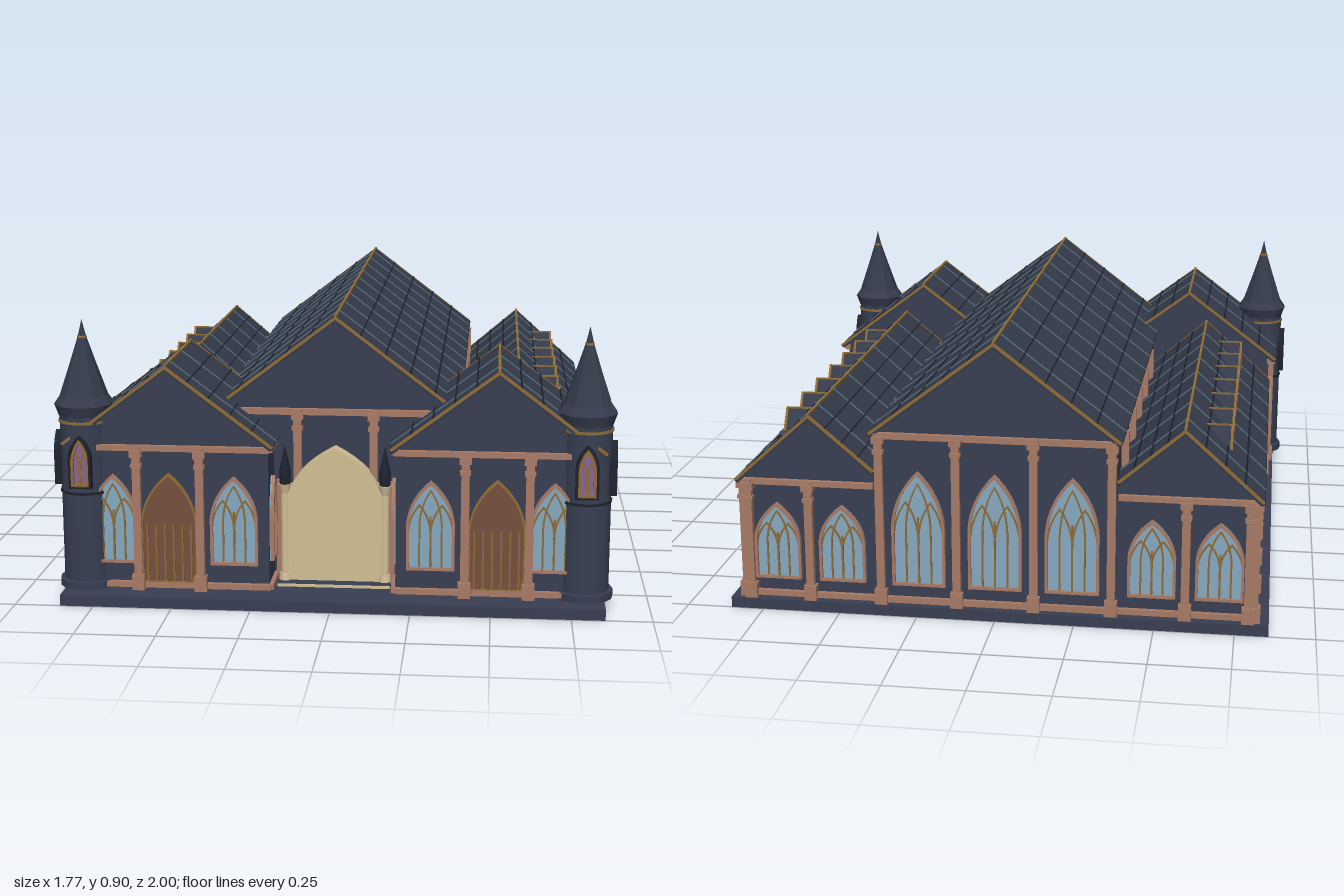
import * as THREE from 'three';

const mat = (name, color) => Object.assign(new THREE.MeshStandardMaterial({ color }), { name });
const M = {
  wall: mat('slate wall', 0x383f52), roof: mat('slate roof', 0x353b4b), dark: mat('dark slate', 0x1f232e),
  copper: mat('copper trim', 0xa87a66), gold: mat('old gold', 0x8f6c35), door: mat('brown wood', 0x74503e),
  glass: mat('blue glass', 0x86a9c0), cream: mat('cream stone', 0xd2c096), violet: mat('violet glass', 0x86649c),
  seam: mat('blue grey seam', 0x566f7c),
};

function add(parent, name, geo, material, x = 0, y = 0, z = 0) {
  const m = new THREE.Mesh(geo, material);
  m.name = name;
  m.position.set(x, y, z);
  parent.add(m);
  return m;
}
const box = (p, name, material, w, h, d, x, y, z) => add(p, name, new THREE.BoxGeometry(w, h, d), material, x, y, z);
function group(parent, name, x = 0, y = 0, z = 0, ry = 0) {
  const g = new THREE.Group();
  g.name = name;
  g.position.set(x, y, z);
  g.rotation.y = ry;
  parent.add(g);
  return g;
}
function faceted(geo) {
  const g = geo.toNonIndexed();
  g.computeVertexNormals();
  return g;
}
const extrude = (shape, depth) => new THREE.ExtrudeGeometry(shape, { depth, bevelEnabled: false, curveSegments: 8 });

// Pointed arch outline, standing on y = base
function arch(w, h, spring, base = 0, P = THREE.Shape) {
  const s = new P();
  s.moveTo(-w, base);
  s.lineTo(w, base);
  s.lineTo(w, spring);
  s.quadraticCurveTo(w * 0.92, spring + (h - spring) * 0.58, 0, h);
  s.quadraticCurveTo(-w * 0.92, spring + (h - spring) * 0.58, -w, spring);
  s.closePath();
  return s;
}
function archRing(w, h, spring, t, depth, sill = t) {
  const s = arch(w, h, spring);
  s.holes.push(arch(w - t, h - t * 1.4, spring, sill, THREE.Path));
  return extrude(s, depth);
}

// Traceried window; local +z points out of the wall
function windowAt(parent, x, y, z, ry, w, h, glass = M.glass, frame = M.copper) {
  const g = group(parent, 'window', x, y, z, ry), sp = h * 0.52;
  add(g, 'windowGlass', extrude(arch(w, h, sp), 0.004), glass);
  add(g, 'windowFrame', archRing(w, h, sp, 0.009, 0.014), frame);
  const t = 0.006;
  for (const s of [-1, 1])
    add(g, 'lancetTracery', archRing(w / 2, h * 0.74, h * 0.42, t, 0.008), M.gold, s * w / 2 * 0.93);
  if (w > 0.06) {
    add(g, 'middleTracery', archRing(w * 0.5, h * 0.9, h * 0.5, t, 0.007), M.gold);
    box(g, 'mullion', M.gold, t, h * 0.6, 0.008, 0, h * 0.3, 0.005);
  }
  return g;
}

// Pilaster with foot and capital
function pilaster(parent, x, z, ry, y0, y1) {
  const g = group(parent, 'pilaster', x, y0, z, ry), h = y1 - y0;
  box(g, 'pilasterShaft', M.copper, 0.026, h, 0.026, 0, h / 2, 0.008);
  box(g, 'pilasterFoot', M.copper, 0.04, 0.05, 0.036, 0, 0.025, 0.01);
  box(g, 'pilasterCapital', M.copper, 0.038, 0.022, 0.036, 0, h - 0.02, 0.01);
  box(g, 'pilasterBand', M.copper, 0.034, 0.012, 0.032, 0, h - 0.06, 0.01);
}

// Roof plane from ridge (x0,y0) to eave (x1,y1), with courses, seams and gilt edges
function roofPlane(parent, x0, y0, x1, y1, z0, z1, step) {
  const dir = Math.sign(x1 - x0), L = Math.hypot(x1 - x0, y1 - y0), D = z1 - z0, t = 0.016;
  const g = group(parent, 'roofPlane', (x0 + x1) / 2, (y0 + y1) / 2, (z0 + z1) / 2);
  g.rotation.z = Math.atan2(y1 - y0, Math.abs(x1 - x0)) * dir;
  box(g, 'roofSlab', M.roof, L, t, D, 0, -t / 2, 0);
  const n = Math.round(L / step);
  for (let i = 1; i < n; i++) box(g, 'roofCourse', M.dark, 0.005, 0.005, D, -L / 2 + i * L / n, 0.001, 0);
  for (let z = -0.865; z < z1 - 0.02; z += 0.19)
    if (z > z0 + 0.02) box(g, 'roofSeam', M.seam, L, 0.005, 0.004, 0, 0.001, z - (z0 + z1) / 2);
  for (const s of [-1, 1]) box(g, 'vergeTrim', M.gold, L, 0.009, 0.006, 0, -0.003, s * D / 2);
  box(g, 'eaveTrim', M.dark, 0.006, 0.012, D, dir * L / 2, -0.007, 0);
}
function gableBlock(parent, name, pts, z0, z1) {
  add(parent, name, extrude(new THREE.Shape(pts.map(p => new THREE.Vector2(...p))), z1 - z0), M.wall, 0, 0, z0);
}

function tower(parent, side) {
  const g = group(parent, 'cornerTower', side * 0.79, 0, 0.86);
  const cyl = (name, m, r1, r0, y0, y1, n = 16) =>
    add(g, name, new THREE.CylinderGeometry(r1, r0, y1 - y0, n), m, 0, (y0 + y1) / 2, 0);
  cyl('towerFoot', M.wall, 0.093, 0.093, 0.035, 0.06);
  cyl('towerShaft', M.wall, 0.079, 0.08, 0.05, 0.6);
  cyl('towerLowerRing', M.dark, 0.083, 0.083, 0.345, 0.353);
  cyl('towerGoldRing', M.gold, 0.083, 0.083, 0.572, 0.58);
  cyl('towerCornice', M.wall, 0.094, 0.08, 0.59, 0.63, 10);
  const spire = [[0.095, 0.628], [0.076, 0.655], [0.04, 0.76], [0.012, 0.845], [0, 0.895]].map(p => new THREE.Vector2(...p));
  add(g, 'towerSpire', faceted(new THREE.LatheGeometry(spire, 10)), M.roof);
  cyl('spireCollar', M.gold, 0.014, 0.016, 0.838, 0.844, 10);
  for (const ry of [0, side * Math.PI / 2]) {
    const f = group(g, 'towerWindow', 0, 0.37, 0, ry);
    add(f, 'towerWindowFrame', archRing(0.036, 0.17, 0.1, 0.008, 0.026), M.dark, 0, 0, 0.068);
    windowAt(f, 0, 0.006, 0.08, 0, 0.028, 0.152, M.violet, M.gold);
    const rib = box(f, 'spireSeam', M.seam, 0.004, 0.18, 0.005, 0, 0.38, 0.038);
    rib.rotation.x = -0.34;
  }
}

// One side of the church; s = 1 is its left
function sideWing(root, s) {
  const g = group(root, s > 0 ? 'leftWing' : 'rightWing');
  const out = s * Math.PI / 2;
  const ordered = pts => (s > 0 ? pts : pts.map(([x, y]) => [-x, y]).reverse());

  // Long aisle
  gableBlock(g, 'aisleWalls', ordered([[0.36, 0.03], [0.8, 0.03], [0.8, 0.445], [0.585, 0.635], [0.36, 0.45]]), -0.97, 0.5);
  roofPlane(g, s * 0.585, 0.65, s * 0.83, 0.43, -0.985, 0.465, 0.075);
  roofPlane(g, s * 0.585, 0.65, s * 0.38, 0.475, -0.985, 0.465, 0.075);
  box(g, 'aisleRidge', M.gold, 0.008, 0.008, 1.45, s * 0.585, 0.65, -0.26);
  for (const y of [0.05, 0.424]) {
    box(g, 'aisleSideBeam', M.copper, 0.02, 0.018, 1.47, s * 0.805, y, -0.245);
    box(g, 'aisleBackBeam', M.copper, 0.43, 0.018, 0.02, s * 0.6, y, -0.975);
  }
  for (let i = 0; i < 6; i++) {
    windowAt(g, s * 0.8, 0.1, 0.39 - i * 0.245, out, 0.085, 0.255);
    pilaster(g, s * 0.8, 0.27 - i * 0.247, out, 0.035, 0.43);
  }
  for (const x of [0.49, 0.7]) windowAt(g, s * x, 0.1, -0.97, Math.PI, 0.075, 0.255);
  for (const x of [0.595, 0.79]) pilaster(g, s * x, -0.97, Math.PI, 0.035, 0.43);

  // Small triangular dormers
  for (let i = 0; i < 7; i++) {
    const d = group(g, 'dormer', s * 0.64, 0.53, 0.35 - i * 0.182, out);
    const tri = new THREE.Shape([[-0.045, 0], [0.045, 0], [0, 0.07]].map(p => new THREE.Vector2(...p)));
    add(d, 'dormerBody', extrude(tri, 0.08), M.roof);
    for (const k of [-1, 1]) {
      const e = box(d, 'dormerTrim', M.gold, 0.083, 0.006, 0.008, k * 0.0225, 0.036, 0.08);
      e.rotation.z = -k * Math.atan2(0.07, 0.045);
    }
    box(d, 'dormerRidge', M.gold, 0.005, 0.005, 0.085, 0, 0.07, 0.04);
  }

  // Clerestory posts above the aisle
  for (let i = 0; i < 5; i++) box(g, 'clerestoryPost', M.copper, 0.03, 0.13, 0.024, s * 0.388, 0.53, -0.83 + i * 0.258);

  // Front block with its own gable
  gableBlock(g, 'frontBlockWalls', ordered([[0.2, 0.03], [0.825, 0.03], [0.825, 0.515], [0.517, 0.745], [0.2, 0.51]]), 0.475, 0.905);
  roofPlane(g, s * 0.517, 0.762, s * 0.852, 0.51, 0.46, 0.93, 0.085);
  roofPlane(g, s * 0.517, 0.762, s * 0.182, 0.51, 0.46, 0.93, 0.085);
  box(g, 'frontBlockRidge', M.gold, 0.008, 0.008, 0.47, s * 0.517, 0.762, 0.695);
  for (const y of [0.05, 0.497]) {
    box(g, 'frontBeam', M.copper, 0.63, 0.018, 0.022, s * 0.51, y, 0.91);
    box(g, 'outerBeam', M.copper, 0.022, 0.018, 0.44, s * 0.83, y, 0.69);
    box(g, 'innerBeam', M.copper, 0.018, 0.018, 0.14, s * 0.195, y, 0.84);
  }
  for (const x of [0.417, 0.617]) pilaster(g, s * x, 0.905, 0, 0.035, 0.5);
  pilaster(g, s * 0.825, 0.695, out, 0.035, 0.5);
  for (const x of [0.31, 0.695]) windowAt(g, s * x, 0.12, 0.905, 0, 0.076, 0.29);
  for (const z of [0.595, 0.785]) windowAt(g, s * 0.825, 0.11, z, out, 0.078, 0.295);
  windowAt(g, s * 0.2, 0.13, 0.845, -out, 0.045, 0.27);

  // Side door
  const d = group(g, 'sideDoor', s * 0.517, 0.055, 0.905);
  add(d, 'sideDoorLeaf', extrude(arch(0.085, 0.355, 0.2), 0.006), M.door);
  add(d, 'sideDoorFrame', archRing(0.09, 0.362, 0.2, 0.007, 0.012), M.gold);
  for (let i = 0; i < 6; i++) box(d, 'sideDoorBar', M.gold, 0.005, 0.19, 0.006, -0.07 + i * 0.028, 0.1, 0.008);

  tower(g, s);
}

function portal(root) {
  const g = group(root, 'mainPortal', 0, 0.038, 0.765);
  add(g, 'mainDoor', extrude(arch(0.135, 0.415, 0.26), 0.01), M.door);
  box(g, 'doorJoint', M.dark, 0.004, 0.38, 0.004, 0, 0.19, 0.01);
  add(g, 'outerArch', archRing(0.155, 0.445, 0.27, 0.014, 0.05, -0.001), M.cream);
  add(g, 'goldArch', archRing(0.143, 0.426, 0.265, 0.009, 0.035, -0.001), M.gold);
  add(g, 'innerArch', archRing(0.136, 0.415, 0.26, 0.011, 0.025, -0.001), M.cream);
  for (const s of [-1, 1]) {
    const col = (name, m, r1, r0, h, y, n) => add(g, name, new THREE.CylinderGeometry(r1, r0, h, n), m, s * 0.16, y, 0.04);
    col('portalColumn', M.cream, 0.014, 0.014, 0.3, 0.15, 12);
    col('columnFoot', M.cream, 0.018, 0.022, 0.03, 0.015, 12);
    col('columnCapital', M.cream, 0.022, 0.015, 0.03, 0.31, 12);
    col('pinnacleBase', M.dark, 0.018, 0.018, 0.04, 0.345, 8);
    col('pinnacle', M.dark, 0.001, 0.02, 0.09, 0.405, 8);
    box(g, 'portalBlock', M.copper, 0.03, 0.06, 0.03, s * 0.118, 0.03, 0.02);
    box(g, 'portalPier', M.copper, 0.022, 0.33, 0.02, s * 0.18, 0.165, 0.01);
  }
  box(root, 'portalStep', M.wall, 0.36, 0.012, 0.1, 0, 0.039, 0.81);
  box(root, 'stepEdge', M.cream, 0.36, 0.008, 0.006, 0, 0.042, 0.862);
}

export function createModel() {
  const root = new THREE.Group();
  root.name = 'church';
  box(root, 'basePlinth', M.wall, 1.71, 0.035, 2, 0, 0.0175, 0);

  // Nave
  const nave = group(root, 'nave');
  gableBlock(nave, 'naveWalls', [[-0.38, 0.03], [0.38, 0.03], [0.38, 0.595], [0, 0.885], [-0.38, 0.595]], -0.975, 0.765);
  for (const s of [-1, 1]) roofPlane(nave, 0, 0.9, s * 0.395, 0.6, -0.99, 0.782, 0.1);
  box(nave, 'naveRidge', M.gold, 0.008, 0.008, 1.772, 0, 0.9, -0.104);
  box(nave, 'naveFrontBeam', M.copper, 0.72, 0.02, 0.02, 0, 0.592, 0.77);
  for (const y of [0.05, 0.592]) box(nave, 'naveBackBeam', M.copper, 0.76, 0.02, 0.02, 0, y, -0.978);
  for (const x of [-0.122, 0.122]) pilaster(nave, x, 0.765, 0, 0.035, 0.6);
  for (const x of [-0.365, -0.122, 0.122, 0.365]) pilaster(nave, x, -0.97, Math.PI, 0.035, 0.6);
  for (const x of [-0.243, 0, 0.243]) windowAt(nave, x, 0.1, -0.975, Math.PI, 0.085, 0.38);

  portal(root);
  for (const s of [1, -1]) sideWing(root, s);
  return root;
}
